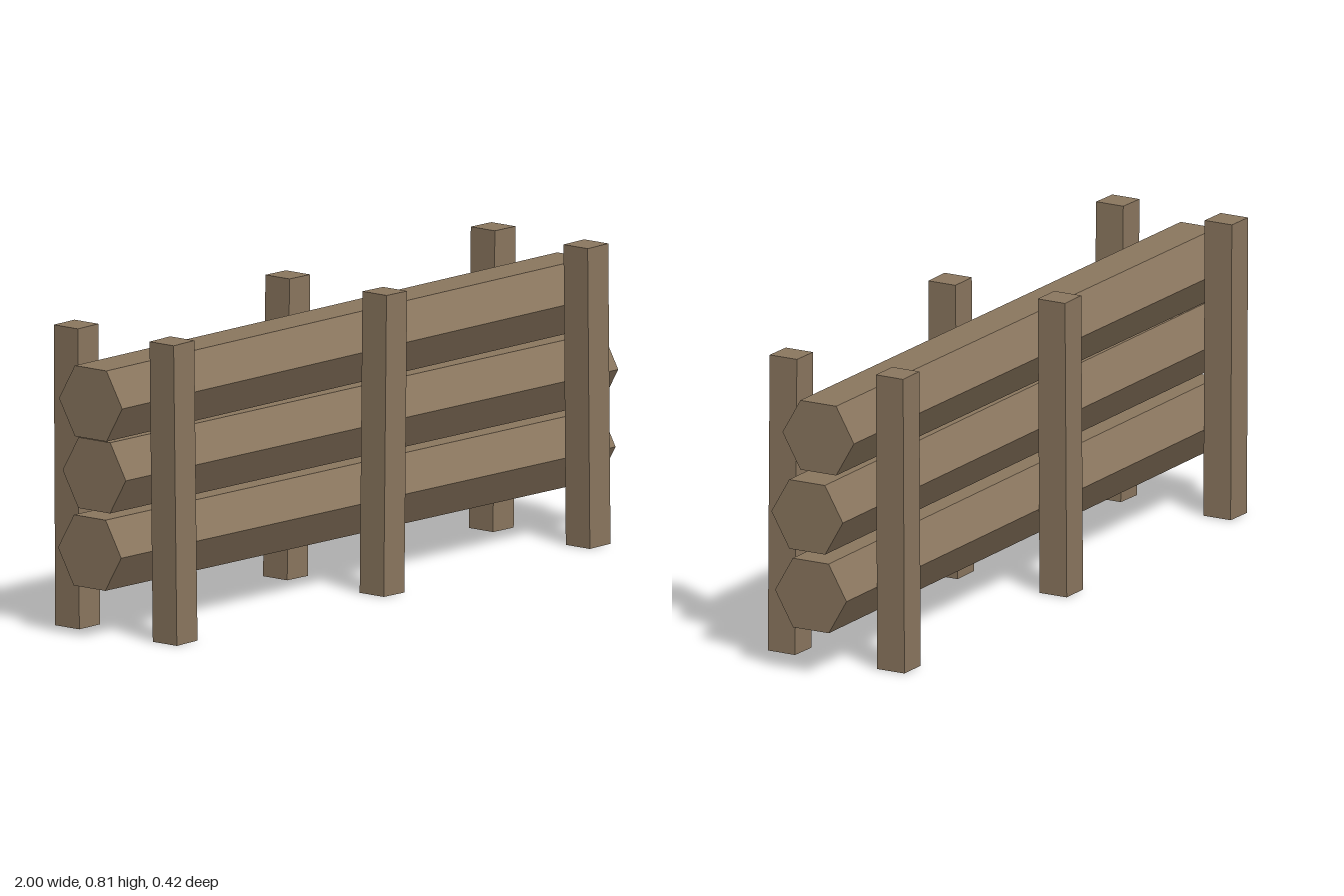
import * as THREE from 'three';

const UP = new THREE.Vector3(0, 1, 0);

// Places a part of unit-axis geometry so its y axis runs from one point to another
function between(name, makeGeometry, material, from, to) {
  const a = new THREE.Vector3(...from);
  const b = new THREE.Vector3(...to);
  const mesh = new THREE.Mesh(makeGeometry(a.distanceTo(b)), material);
  mesh.name = name;
  mesh.position.addVectors(a, b).multiplyScalar(0.5);
  mesh.quaternion.setFromUnitVectors(UP, b.sub(a).normalize());
  return mesh;
}

export function createModel() {
  const group = new THREE.Group();
  group.name = 'logFence';
  const wood = new THREE.MeshStandardMaterial({ color: 0x8b775f, flatShading: true });
  wood.name = 'weathered wood';

  // Three stacked hexagonal logs, slightly out of level
  const log = (length) => new THREE.CylinderGeometry(0.109, 0.109, length, 6);
  const logs = [
    ['bottomLog', [-0.99, 0.234, -0.013], [0.998, 0.222, -0.013]],
    ['middleLog', [-0.99, 0.443, 0.003], [0.99, 0.432, 0.003]],
    ['topLog', [-1, 0.636, -0.001], [0.94, 0.636, -0.001]],
  ];
  for (const [name, from, to] of logs) group.add(between(name, log, wood, from, to));

  // Pairs of square posts on both sides, each leaning a little: bottom x, top x
  const post = (length) => new THREE.BoxGeometry(0.083, length, 0.083);
  const posts = [
    ['frontRightPost', -0.856, -0.869, 0.167],
    ['frontMiddlePost', -0.024, -0.013, 0.167],
    ['frontLeftPost', 0.805, 0.796, 0.167],
    ['backRightPost', -0.860, -0.866, -0.166],
    ['backMiddlePost', -0.024, -0.015, -0.166],
    ['backLeftPost', 0.804, 0.811, -0.166],
  ];
  for (const [name, bottom, top, z] of posts) {
    group.add(between(name, post, wood, [bottom, 0.001, z], [top, 0.805, z]));
  }
  return group;
}
